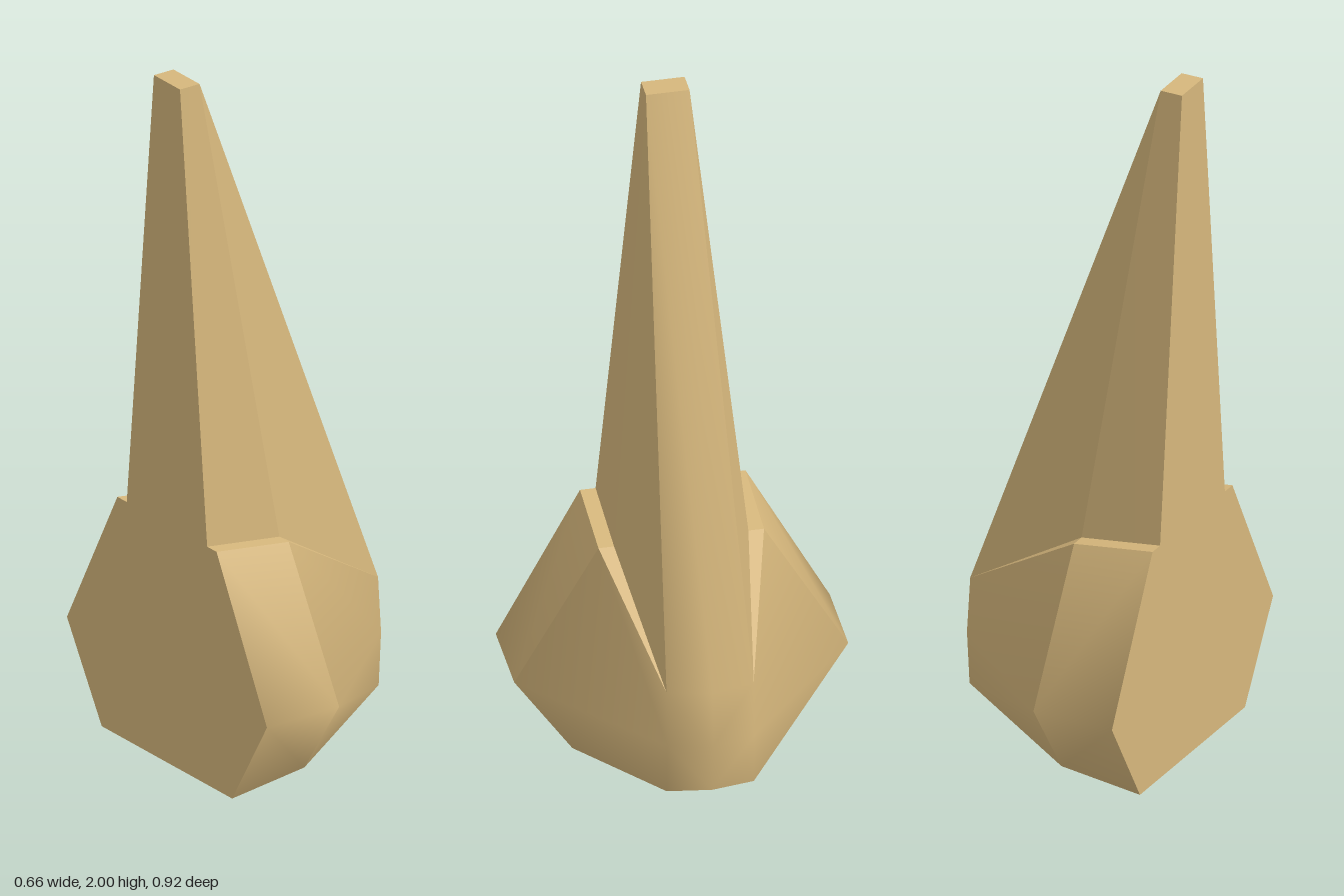
import * as THREE from 'three';
import { toCreasedNormals } from 'three/addons/utils/BufferGeometryUtils.js';

const V = (x, y, z) => new THREE.Vector3(x, y, z);
const mirror = (p) => V(p.x, p.y, -p.z);

// Height of the sloping underside at a given x
const under = (x) => (x < -0.09 ? 0.125 * (x + 0.33) : 0.03 + 0.218 * (x + 0.09));

// Collects planar faces, turning each away from (or towards) a reference point
class Faces {
  constructor(centre, inward = false) {
    this.pos = [];
    this.centre = centre;
    this.inward = inward;
  }
  add(...p) {
    for (let i = 1; i < p.length - 1; i++) {
      let [a, b, c] = [p[0], p[i], p[i + 1]];
      const n = b.clone().sub(a).cross(c.clone().sub(a));
      const mid = a.clone().add(b).add(c).divideScalar(3).sub(this.centre);
      if (n.dot(mid) < 0 !== this.inward) [b, c] = [c, b];
      for (const v of [a, b, c]) this.pos.push(v.x, v.y, v.z);
    }
    return this;
  }
  both(...p) {
    return this.add(...p).add(...p.map(mirror));
  }
  mesh(name, material, crease = 0.1) {
    const g = new THREE.BufferGeometry();
    g.setAttribute('position', new THREE.Float32BufferAttribute(this.pos, 3));
    const m = new THREE.Mesh(toCreasedNormals(g, crease), material);
    m.name = name;
    return m;
  }
}

export function createModel() {
  const group = new THREE.Group();
  group.name = 'nose';
  const skin = new THREE.MeshStandardMaterial({ color: 0xd6b77c });
  const core = V(-0.15, 0.35, 0);

  // Corner points of one half
  const A0 = V(-0.33, 2, 0.06), A1 = V(-0.265, 2, 0.06), Ac = V(-0.265, 2, 0);
  const B0 = V(-0.33, 0.7, 0.185), B1 = V(-0.09, 0.668, 0.185);
  const C0 = V(-0.33, 0.7, 0.228), C1 = V(-0.09, 0.668, 0.228);
  const D0 = V(-0.33, 0.265, 0.46), D1 = V(-0.09, 0.265, 0.46);
  const E0 = V(-0.33, 0, 0.3), E1 = V(-0.09, 0.03, 0.3);
  const F = V(0.285, 0.43, 0.12), Fc = V(0.315, 0.43, 0);
  const G = V(0.295, 0.265, 0.12), Gc = V(0.327, 0.265, 0);
  const H = V(0.287, 0.112, 0.12), Hc = V(0.313, 0.117, 0);

  // Bridge sides and top
  group.add(new Faces(core)
    .both(A1, A0, B0, B1).both(A1, B1, F)
    .add(A0, A1, mirror(A1), mirror(A0))
    .mesh('bridge', skin, 0.2));

  // Narrow ledges between bridge and nostril wings
  group.add(new Faces(core).both(B0, C0, C1, B1).both(B1, C1, F).mesh('wingLedges', skin));

  // Rear part of the nostril wings
  group.add(new Faces(core).both(C0, C1, D1, D0).both(D0, D1, E1, E0)
    .mesh('wings', skin, 1.15));

  // Front cheeks, rounded tip and ridge, shaded smoothly together
  group.add(new Faces(core)
    .both(C1, D1, G, F).both(D1, E1, H, G)
    .both(F, Fc, Gc, G).both(G, Gc, Hc, H)
    .both(A1, Ac, Fc, F)
    .mesh('tipAndRidge', skin, 1.15));

  // Flat back
  const back = new Faces(core);
  for (const [p, q] of [[A0, B0], [C0, D0], [D0, E0]]) back.add(p, q, mirror(q), mirror(p));
  group.add(back.mesh('back', skin));

  // Underside with two nostril openings
  const hole = [[0.25, 0.13], [-0.09, 0.275], [-0.2, 0.283], [-0.2, 0.15]]
    .map(([x, z]) => V(x, under(x), z));
  const rim = [E0, E1, H, Hc, mirror(H), mirror(E1), mirror(E0)];
  const holes = [hole, hole.map(mirror)];
  const flat = (p) => new THREE.Vector2(p.x, p.z);
  const all = [...rim, ...holes.flat()];
  const underside = new Faces(core);
  for (const t of THREE.ShapeUtils.triangulateShape(rim.map(flat), holes.map((h) => h.map(flat)))) {
    underside.add(...t.map((i) => all[i]));
  }
  group.add(underside.mesh('underside', skin, 0.3));

  // Nostril pockets
  for (const [i, h] of holes.entries()) {
    const roof = h.map((p) => V(p.x, 0.2, p.z));
    const pocket = new Faces(V(-0.08, 0.12, i ? -0.19 : 0.19), true);
    h.forEach((p, k) => {
      const n = (k + 1) % h.length;
      pocket.add(p, h[n], roof[n], roof[k]);
    });
    group.add(pocket.add(...roof).mesh(i ? 'nostrilRight' : 'nostrilLeft', skin));
  }
  return group;
}
